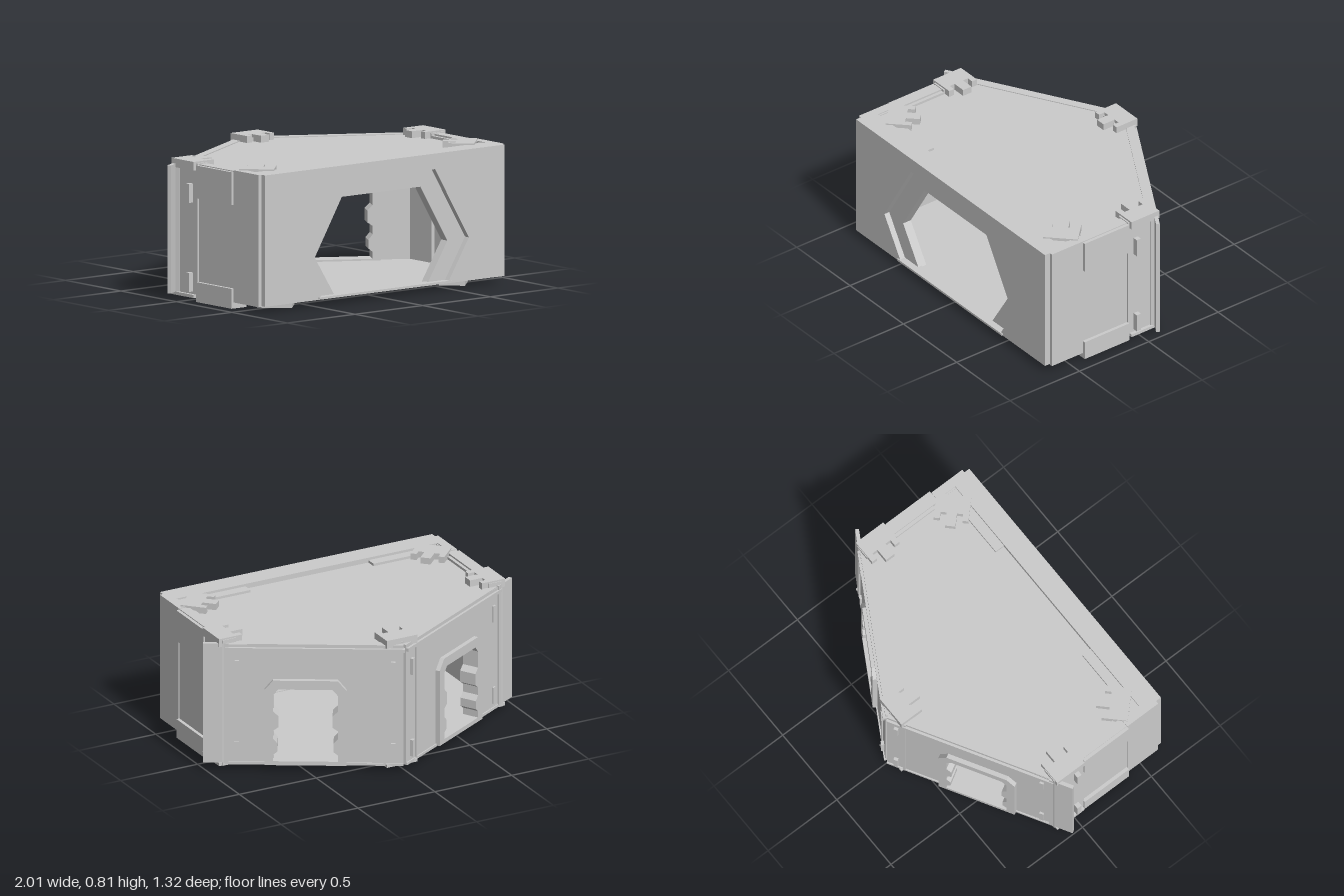
import * as THREE from 'three';

const mat = new THREE.MeshStandardMaterial({ color: 0xcccccc, flatShading: true });

function add(parent, name, geo) {
  const m = new THREE.Mesh(geo, mat);
  m.name = name;
  parent.add(m);
  return m;
}

// Box given by its lower and upper limits on each axis
function box(parent, name, x0, x1, y0, y1, z0, z1) {
  const m = add(parent, name, new THREE.BoxGeometry(Math.abs(x1 - x0), y1 - y0, z1 - z0));
  m.position.set((x0 + x1) / 2, (y0 + y1) / 2, (z0 + z1) / 2);
  return m;
}

const pts = (a) => a.map(([x, y]) => new THREE.Vector2(x, y));
const mirrored = (half) => [...half, ...half.map(([x, y]) => [-x, y]).reverse()];
const rect = (x0, x1, y0, y1) => [[x0, y0], [x1, y0], [x1, y1], [x0, y1]];

// Flat plate with an optional hole, between z0 and z1
function plate(parent, name, outline, hole, z0, z1) {
  const s = new THREE.Shape(pts(outline));
  if (hole) s.holes.push(new THREE.Path(pts(hole)));
  const g = new THREE.ExtrudeGeometry(s, { depth: z1 - z0, bevelEnabled: false });
  g.translate(0, 0, z0);
  return add(parent, name, g);
}

// Five-sided slab for floor and roof
function slab(parent, name, y0, y1) {
  const s = new THREE.Shape(pts([[-0.88, -0.6], [0.88, -0.6], [0.88, 0.14], [0, 0.62], [-0.88, 0.14]]));
  const g = new THREE.ExtrudeGeometry(s, { depth: y1 - y0, bevelEnabled: false });
  g.rotateX(-Math.PI / 2);
  g.translate(0, y0, 0);
  return add(parent, name, g);
}

// Three-pronged corner clip; prongs point along local +z
function clip(parent, name, x, z, turn, y0, y1) {
  const g = new THREE.Group();
  g.name = name;
  box(g, 'clipBase', -0.1, 0.1, y0, y1, -0.1, 0.01);
  box(g, 'clipTongue', -0.03, 0.03, y0, y1, 0.01, 0.09);
  for (const s of [-1, 1]) box(g, 'clipProng', s * 0.065, s * 0.1, y0, y1, 0.01, 0.05);
  g.position.set(x, 0, z);
  g.rotation.y = turn;
  parent.add(g);
}

// Angled back wall with doorway; local +z faces outward, u * s runs to the rear corner
function angledWall(parent, s) {
  const g = new THREE.Group();
  g.name = 'angledWall';
  const c = -0.05 * s;
  const shift = (a) => a.map(([x, y]) => [x + c, y]);
  const door = mirrored([
    [0.185, 0.06], [0.185, 0.1], [0.16, 0.12], [0.16, 0.17], [0.185, 0.2], [0.185, 0.25],
    [0.155, 0.27], [0.155, 0.34], [0.185, 0.37], [0.185, 0.47], [0.155, 0.505],
  ]);
  const frame = mirrored([[0.235, 0.035], [0.235, 0.5], [0.185, 0.56]]);
  const u0 = -0.51, u1 = 0.51;
  plate(g, 'wallPanel', rect(u0, u1, 0.035, 0.775), shift(frame), -0.05, 0);
  plate(g, 'doorFrame', shift(frame), shift(door), -0.075, 0.027);
  // rail along the top edge, and thin sill below
  box(g, 'topRail', u0, u1 + 0.008, 0.735, 0.755, -0.02, 0.015);
  box(g, 'bottomRail', u0, u1, 0.03, 0.045, -0.02, 0.008);
  // fin overhanging the side corner
  box(g, 'cornerFin', -0.635 * s, -0.49 * s, 0.04, 0.78, -0.012, 0.01);
  box(g, 'finRib', -0.56 * s, -0.53 * s, 0.04, 0.775, -0.035, -0.012);
  // strip and latches beside the rear corner
  box(g, 'rearStrip', 0.395 * s, 0.41 * s, 0.035, 0.775, 0, 0.008);
  for (const y of [0.07, 0.575]) {
    box(g, 'rearLatch', 0.44 * s, 0.465 * s, y, y + 0.1, 0, 0.018);
    box(g, 'sideLatch', -0.455 * s, -0.43 * s, y, y + 0.1, 0, 0.012);
  }
  g.position.set(0.45 * s, 0, -0.385);
  g.rotation.y = s * Math.PI * 5 / 6;
  parent.add(g);
}

export function createModel() {
  const model = new THREE.Group();
  model.name = 'pentagonRoom';

  slab(model, 'floor', 0.03, 0.05);
  slab(model, 'roof', 0.745, 0.77);

  // Front wall: outer face with a six-sided recess, inner face with the smaller opening
  const outerHex = mirrored([[0.47, 0.05], [0.62, 0.29], [0.37, 0.71]]);
  const innerHex = mirrored([[0.345, 0.05], [0.49, 0.28], [0.29, 0.612]]);
  const front = new THREE.Group();
  front.name = 'frontWall';
  plate(front, 'frontFace', rect(-0.885, 0.885, 0.04, 0.8), outerHex, 0.62, 0.66);
  plate(front, 'frontBacking', rect(-0.905, 0.905, 0.035, 0.8), innerHex, 0.57, 0.625);
  box(front, 'topBeam', -0.89, 0.89, 0.7, 0.8, 0.53, 0.575);
  box(front, 'sill', -0.49, 0.49, 0.042, 0.055, 0.6, 0.668);
  model.add(front);

  for (const s of [-1, 1]) {
    // Side wall with clamps gripping its top and bottom
    box(model, 'sideWall', s * 0.84, s * 0.9, 0.035, 0.795, 0.05, 0.6);
    box(model, 'sideFrontEdge', s * 0.85, s * 0.905, 0.035, 0.8, 0.4, 0.6);
    box(model, 'upperClamp', s * 0.87, s * 0.92, 0.6, 0.79, 0.078, 0.4);
    box(model, 'lowerClamp', s * 0.89, s * 0.92, 0, 0.115, 0.078, 0.4);
    box(model, 'lowerClampFoot', s * 0.81, s * 0.92, 0, 0.035, 0.078, 0.4);

    // Side corner post with latches
    box(model, 'sidePost', s * 0.82, s * 0.91, 0.022, 0.8, -0.135, 0.08);
    for (const y of [0.055, 0.57]) box(model, 'postLatch', s * 0.9, s * 0.94, y, y + 0.11, 0.01, 0.04);

    // Ledges on the roof
    box(model, 'frontLedge', s * 0.4, s * 0.7, 0.765, 0.785, 0.47, 0.535);
    box(model, 'sideLedge', s * 0.82, s * 0.88, 0.765, 0.785, 0.07, 0.36);

    // Clips above and below
    clip(model, 'sideTopClip', s * 0.83, -0.03, -s * Math.PI / 2, 0.76, 0.81);
    clip(model, 'sideBottomClip', s * 0.83, -0.03, -s * Math.PI / 2, 0.022, 0.04);
    clip(model, 'frontTopClip', s * 0.74, 0.42, -s * Math.PI * 0.75, 0.76, 0.808);
    clip(model, 'frontBottomClip', s * 0.64, 0.46, -s * Math.PI * 0.75, 0.0, 0.035);
    box(model, 'frontClipWeb', s * 0.7, s * 0.86, 0.765, 0.79, 0.47, 0.53);

    angledWall(model, s);

    // Round rods on the inside of the rear post
    const rod = add(model, 'rearRod', new THREE.CapsuleGeometry(0.016, 0.45, 4, 10));
    rod.position.set(s * 0.05, 0.36, -0.49);
  }

  // Rear corner post and its clips
  const post = new THREE.Shape(pts([[-0.1, 0.49], [0.1, 0.49], [0.1, 0.56], [0, 0.615], [-0.1, 0.56]]));
  const postGeo = new THREE.ExtrudeGeometry(post, { depth: 0.76, bevelEnabled: false });
  postGeo.rotateX(-Math.PI / 2);
  postGeo.translate(0, 0.03, 0);
  add(model, 'rearPost', postGeo);
  clip(model, 'rearTopClip', 0, -0.51, 0, 0.76, 0.81);
  clip(model, 'rearBottomClip', 0, -0.51, 0, 0.022, 0.04);

  return model;
}
